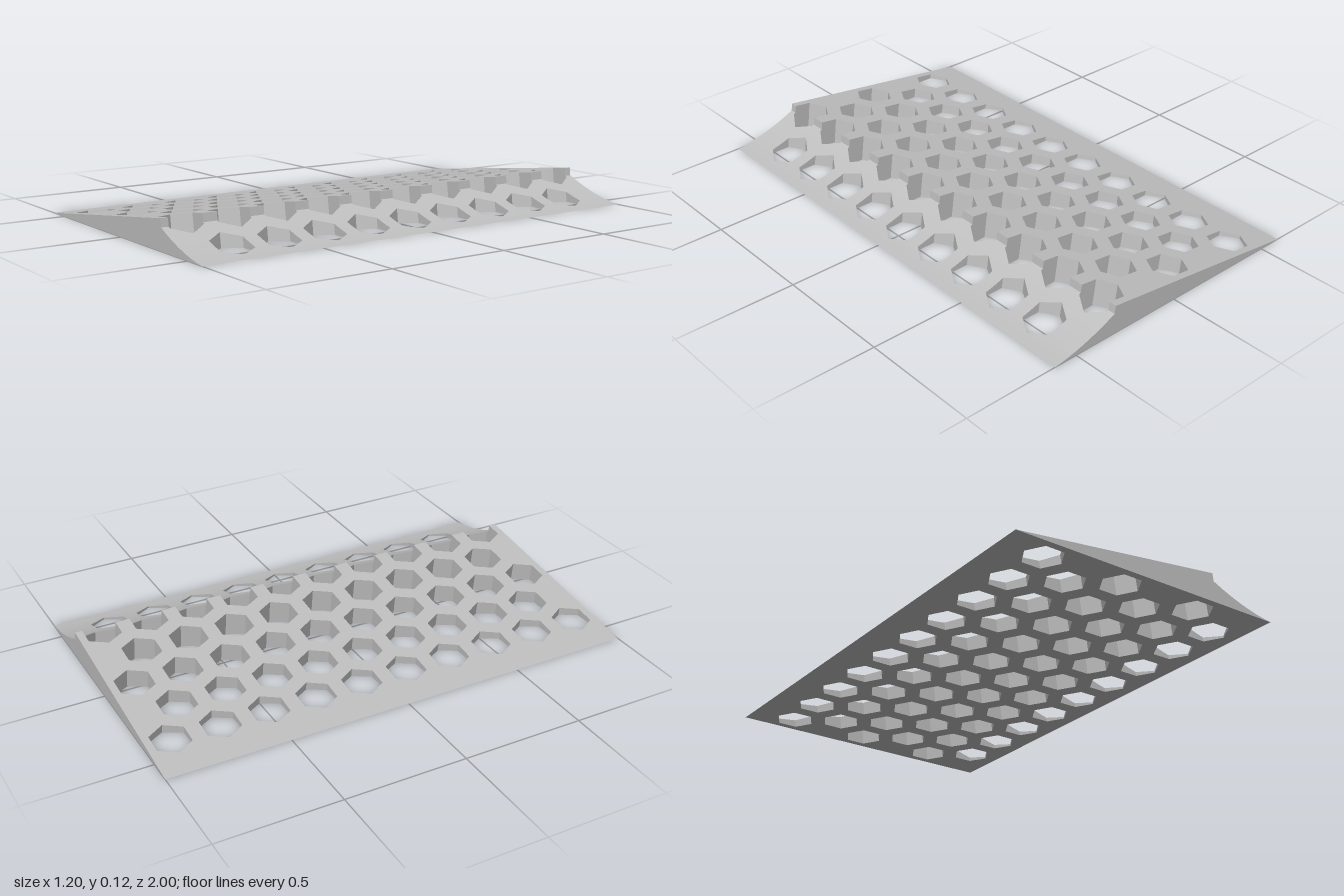
import * as THREE from 'three';
import { toCreasedNormals } from 'three/addons/utils/BufferGeometryUtils.js';

// The holes are drilled square to the ramp, so the plate is built in a sheared
// coordinate u = x + K * y in which every hole is a straight vertical prism.
const K = 0.12 / 0.91;         // ramp slope
const END = 0.6, HALF = 1;     // half width and half length
const STEP = 0.31 + K * 0.12;  // u of the step behind the ridge
const R = 0.0815, FLAT = 0.07; // hexagon: tip radius along u, half height along z
const columns = Array.from({ length: 6 }, (_, i) => ({
  c: -0.409 + 0.1755 * i,
  zs: Array.from({ length: 10 - (i % 2) }, (_, j) => -0.9 + 0.1 * (i % 2) + 0.2 * j),
}));

// Top height on the ramp side or on the hollow curve side
const ramp = (u) => (K * (u + END)) / (1 + K * K);
const curve = (u) => {
  const t = (END - u) / (END - STEP);
  return 0.033 * t + 0.054 * t * t;
};

// Solid z intervals at u, with the holes of one column left out
function solids(u, col) {
  if (!col) return [[-HALF, HALF]];
  const w = Math.max(0, Math.min(FLAT, (2 * FLAT * (R - Math.abs(u - col.c))) / R));
  const cuts = [-HALF, ...col.zs.flatMap((z) => [z - w, z + w]), HALF];
  return Array.from({ length: cuts.length / 2 }, (_, i) => [cuts[2 * i], cuts[2 * i + 1]]);
}
const columnAt = (u) => columns.find(({ c }) => Math.abs(u - c) < R);

function plateGeometry() {
  const pos = [];
  const point = (u, y, z) => new THREE.Vector3(u - K * y, y, z);
  const tri = (a, b, c) => {
    const area = b.clone().sub(a).cross(c.clone().sub(a)).length();
    if (area > 1e-9) for (const p of [a, b, c]) pos.push(p.x, p.y, p.z);
  };
  const quad = (a, b, c, d) => { tri(a, b, c); tri(a, c, d); };

  // Breaks at the hexagon corners, the step and the curve divisions
  const breaks = [-END, STEP, END];
  for (const { c } of columns) breaks.push(c - R, c - R / 2, c + R / 2, c + R);
  for (let i = 1; i < 14; i++) breaks.push(STEP + ((END - STEP) * i) / 14);
  breaks.sort((a, b) => a - b);

  for (let i = 0; i + 1 < breaks.length; i++) {
    const a = breaks[i], b = breaks[i + 1], mid = (a + b) / 2;
    const height = mid < STEP ? ramp : curve;
    const ya = height(a), yb = height(b), col = columnAt(mid);
    const sa = solids(a, col), sb = solids(b, col);
    sa.forEach(([a0, a1], j) => {
      const [b0, b1] = sb[j];
      // top and underside
      quad(point(a, ya, a0), point(a, ya, a1), point(b, yb, b1), point(b, yb, b0));
      quad(point(a, 0, a0), point(b, 0, b0), point(b, 0, b1), point(a, 0, a1));
      // end faces and hole walls
      quad(point(a, 0, a1), point(b, 0, b1), point(b, yb, b1), point(a, ya, a1));
      quad(point(b, 0, b0), point(a, 0, a0), point(a, ya, a0), point(b, yb, b0));
    });
  }
  // Upright step behind the ridge
  const lo = curve(STEP), hi = ramp(STEP);
  for (const [z0, z1] of solids(STEP, columnAt(STEP))) {
    quad(point(STEP, lo, z1), point(STEP, lo, z0), point(STEP, hi, z0), point(STEP, hi, z1));
  }
  const geometry = new THREE.BufferGeometry();
  geometry.setAttribute('position', new THREE.Float32BufferAttribute(pos, 3));
  return toCreasedNormals(geometry, 0.3);
}

export function createModel() {
  const grey = new THREE.MeshStandardMaterial({ color: 0xbfbfbf });
  grey.name = 'light grey';
  const plate = new THREE.Mesh(plateGeometry(), grey);
  plate.name = 'perforatedWedge';
  const model = new THREE.Group();
  model.name = 'perforatedRamp';
  model.add(plate);
  return model;
}
